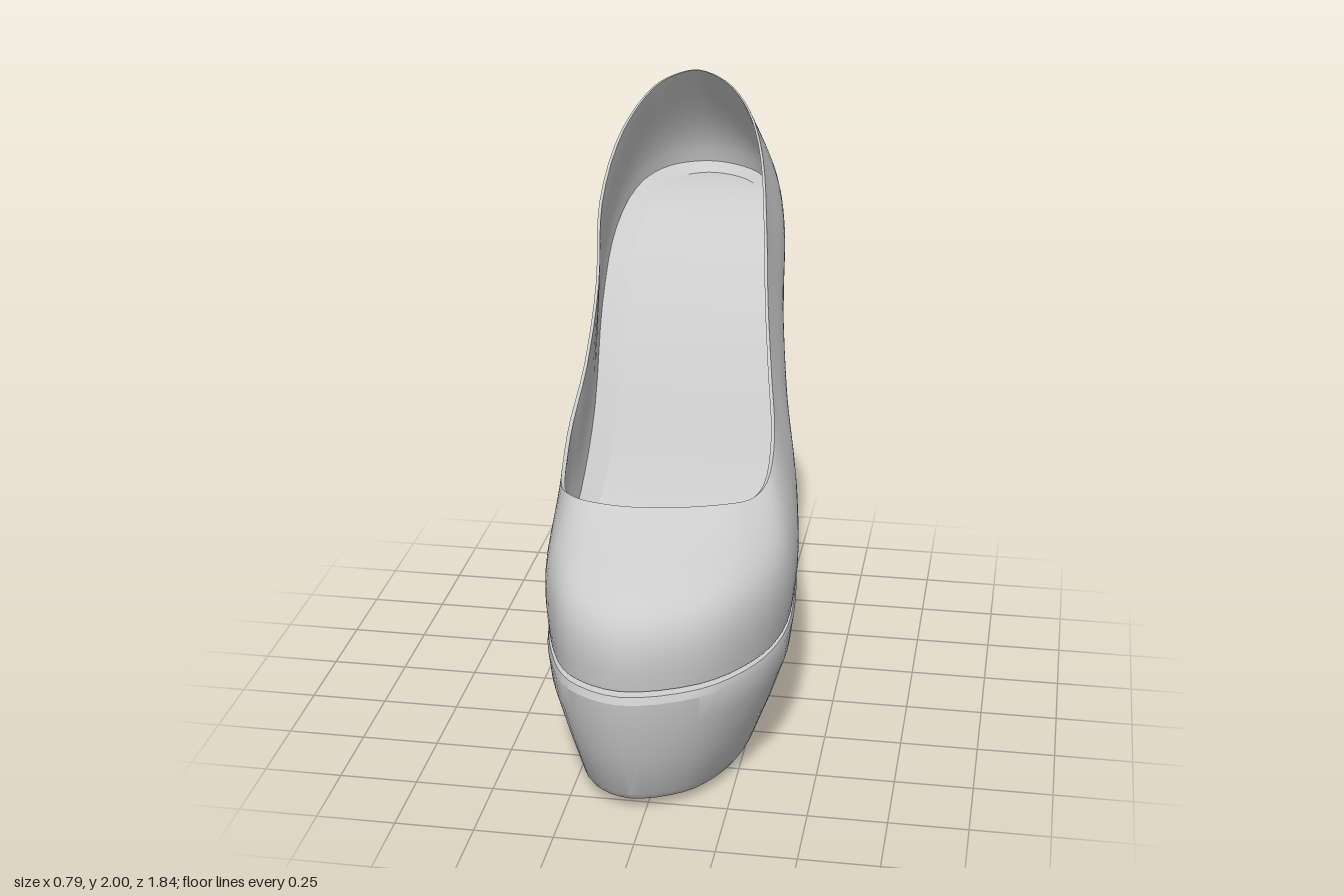
import * as THREE from 'three';
import { toCreasedNormals } from 'three/addons/utils/BufferGeometryUtils.js';

const { lerp, smoothstep } = THREE.MathUtils;
const N = 88; // columns around the shoe: 0 = back, N/2 = toe
const CX = -0.03; // lengthwise axis of the foot

// Smooth curve through [z, value] keys, ascending in z
function curve(keys) {
  const slope = (i) => {
    const a = keys[Math.max(i - 1, 0)], b = keys[Math.min(i + 1, keys.length - 1)];
    return (b[1] - a[1]) / (b[0] - a[0]);
  };
  return (z) => {
    z = Math.min(Math.max(z, keys[0][0]), keys[keys.length - 1][0]);
    let i = 0;
    while (i < keys.length - 2 && z > keys[i + 1][0]) i++;
    const [z0, v0] = keys[i], [z1, v1] = keys[i + 1];
    const h = z1 - z0, t = (z - z0) / h, t2 = t * t, t3 = t2 * t;
    return v0 * (2 * t3 - 3 * t2 + 1) + v1 * (3 * t2 - 2 * t3)
      + h * (slope(i) * (t3 - 2 * t2 + t) + slope(i + 1) * (t3 - t2));
  };
}

// Heights along the foot: seam above the sole, top rim, underside; then z shift and width of the underside
const seamY = curve([[-0.91, 1.53], [-0.8, 1.525], [-0.7, 1.505], [-0.6, 1.465], [-0.5, 1.4], [-0.4, 1.31],
  [-0.3, 1.19], [-0.2, 1.05], [-0.1, 0.88], [0, 0.71], [0.1, 0.58], [0.2, 0.515], [0.3, 0.48], [0.5, 0.46], [0.92, 0.46]]);
const rimY = curve([[-0.67, 2], [-0.6, 1.95], [-0.4, 1.78], [-0.2, 1.55], [0, 1.27], [0.19, 1.01], [0.28, 0.91],
  [0.34, 0.88], [0.4, 0.88], [0.47, 0.88]]);
const underY = curve([[-0.9, 1.48], [-0.6, 1.35], [-0.45, 1.21], [-0.36, 1.13], [-0.28, 1.04], [-0.13, 0.75],
  [0, 0.4], [0.1, 0.13], [0.16, 0.03], [0.2, 0.01], [0.5, 0.015], [0.82, 0.04]]);
const underZ = curve([[-0.92, -0.82], [-0.7, -0.65], [-0.52, -0.5], [-0.3, -0.32], [-0.12, -0.14], [0.04, 0.02],
  [0.22, 0.17], [0.42, 0.38], [0.62, 0.56], [0.8, 0.72], [0.92, 0.82]]);
const underWidth = curve([[-0.9, 0.6], [-0.5, 0.7], [-0.2, 0.8], [0.05, 0.76], [0.2, 0.7], [0.9, 0.7]]);

// Plan outline: seam x, z and rim x, z
const PLAN = [
  [-0.05, -0.9, -0.07, -0.67], [0.09, -0.84, 0.03, -0.63], [0.19, -0.7, 0.12, -0.54], [0.24, -0.52, 0.185, -0.4],
  [0.265, -0.3, 0.225, -0.22], [0.305, -0.12, 0.25, -0.08], [0.36, 0.04, 0.28, 0.05], [0.385, 0.22, 0.31, 0.18],
  [0.375, 0.42, 0.3, 0.28], [0.31, 0.62, 0.23, 0.37], [0.17, 0.8, 0.1, 0.43], [-0.06, 0.89, -0.07, 0.465],
  [-0.23, 0.81, -0.2, 0.455], [-0.325, 0.63, -0.29, 0.42], [-0.375, 0.42, -0.35, 0.34], [-0.38, 0.23, -0.36, 0.2],
  [-0.35, 0.06, -0.33, 0.06], [-0.33, -0.1, -0.32, -0.1], [-0.34, -0.3, -0.34, -0.27], [-0.33, -0.5, -0.3, -0.46],
  [-0.27, -0.72, -0.22, -0.6], [-0.17, -0.86, -0.14, -0.655],
];
const V = (x, y, z) => new THREE.Vector3(x, y, z);
const ringOf = (fn) => Array.from({ length: N }, (_, i) => fn(i));
const sample = (k) => {
  const c = new THREE.CatmullRomCurve3(PLAN.map((p) => V(p[k], 0, p[k + 1])), true);
  return ringOf((i) => c.getPoint(i / N));
};
const seam = sample(0).map((p) => p.setY(seamY(p.z)));
const rim = sample(2).map((p) => p.setY(rimY(p.z)));
const scaled = (p, sx, sz, dy = 0) => V(CX + (p.x - CX) * sx, p.y + dy, p.z * sz);

// Surface through rows of points
function skin(rows, closed, crease = 0.6) {
  const n = rows[0].length, index = [];
  for (let j = 0; j < rows.length - 1; j++) {
    for (let i = 0; i < (closed ? n : n - 1); i++) {
      const a = j * n + i, b = j * n + ((i + 1) % n);
      index.push(a, a + n, b, b, a + n, b + n);
    }
  }
  const g = new THREE.BufferGeometry().setFromPoints(rows.flat());
  g.setIndex(index);
  return toCreasedNormals(g, crease);
}

// Fill of a ring, spanned from one side of the foot to the other
function fill(ring, up) {
  const n = ring.length, rows = [];
  for (let k = 0; k <= n / 2; k++) {
    const a = ring[(n - k) % n], b = ring[k], row = [];
    for (let i = 0; i <= 8; i++) row.push(a.clone().lerp(b, (up ? i : 8 - i) / 8));
    rows.push(row);
  }
  return skin(rows, false);
}

// Point on the upper: column i, t from seam (0) to rim (1)
function upperPoint(i, t) {
  const p = seam[i], r = rim[i], h = r.y - p.y, w = smoothstep(p.z, 0, 0.75);
  const c1 = scaled(p, 1.09, 1.055).setY(p.y + h * lerp(0.33, 0.76, w));
  const c2 = p.clone().lerp(r, lerp(0.4, 0.35, w)).setY(p.y + h * lerp(0.64, 0.62, w));
  return new THREE.CubicBezierCurve3(p, c1, c2, r).getPoint(t);
}

export function createModel() {
  const shoe = new THREE.Group();
  const mat = new THREE.MeshStandardMaterial({ color: 0xcccccc, side: THREE.DoubleSide });
  const add = (name, geometry) => {
    const m = new THREE.Mesh(geometry, mat);
    m.name = name;
    shoe.add(m);
  };

  // Upper: outer wall up to the rim, then the lining down to the insole, which is narrower at the arch
  const insole = seam.map((p) => {
    const q = scaled(p, p.x < CX ? lerp(0.76, 0.87, smoothstep(p.z, -0.1, 0.2)) : 0.87, 0.96);
    return q.setY(seamY(q.z) + 0.06);
  });
  const rows = [];
  for (let j = 0; j <= 14; j++) rows.push(ringOf((i) => upperPoint(i, j / 14)));
  for (let j = 10; j >= 2; j--) {
    rows.push(ringOf((i) => scaled(upperPoint(i, j / 10), 0.965, 0.985, -0.012 * smoothstep(seam[i].z, 0, 0.6))));
  }
  rows.push(insole);
  add('upper', skin(rows, true));
  add('insole', fill(insole, true));

  // Platform and shank: underside, bevel, swelling side, welt edge, groove under the upper
  const welt = seam.map((p) => scaled(p, 1.015, 1.026, -0.035));
  const under = welt.map((p) => {
    const z = underZ(p.z);
    return V(CX + (p.x - CX) * underWidth(p.z), underY(z), z);
  });
  const bevel = under.map((p, i) => p.clone().lerp(welt[i], 0.06));
  const side = (ty, tp) => under.map((p, i) => {
    const q = welt[i].clone().lerp(p, tp);
    return q.setY(lerp(welt[i].y, p.y, ty));
  });
  const tread = under.map((p) => scaled(p, 0.97, 0.985));
  add('platform', skin([
    tread, bevel, side(0.55, 0.46), side(0.22, 0.1), welt,
    seam.map((p) => scaled(p, 1.005, 1.015, -0.012)), seam.map((p) => scaled(p, 0.95, 0.96, -0.004)),
  ], true, 0.45));
  add('outsole', fill(tread, false));

  // Heel: ovals given by front z, front y, back z, back y, half width
  const SIDES = 24;
  const heel = [
    [-0.56, 0, -0.622, 0, 0.035], [-0.548, 0.5, -0.665, 0.5, 0.047], [-0.535, 0.85, -0.71, 0.85, 0.067],
    [-0.525, 1, -0.74, 1, 0.085], [-0.512, 1.09, -0.765, 1.12, 0.105], [-0.475, 1.15, -0.795, 1.22, 0.14],
    [-0.42, 1.165, -0.845, 1.34, 0.19],
  ].map(([zf, yf, zb, yb, hw]) => Array.from({ length: SIDES }, (_, i) => {
    const a = (i / SIDES) * Math.PI * 2, f = (1 - Math.cos(a)) / 2;
    return V(-0.045 + hw * Math.sin(a), lerp(yb, yf, f), lerp(zb, zf, f));
  }));
  // Heel seat: follows the welt round the back and closes straight across under the arch
  const seat = heel[0].map((_, i) => {
    const c = i <= SIDES / 2 ? i : i - SIDES;
    if (Math.abs(c) <= 8) return scaled(welt[(c * 2 + N) % N], 1.006, 1.002);
    return welt[N - 16].clone().lerp(welt[16], ((12 - i) / 4 + 1) / 2);
  });
  const flare = seat.map((p, i) => {
    const o = heel[heel.length - 1][i];
    return V(lerp(o.x, p.x, 0.7), lerp(o.y, p.y, 0.5), lerp(o.z, p.z, 0.7));
  });
  add('heel', skin([...heel, flare, seat], true, 0.5));
  add('heelTip', fill(heel[0], false));

  return shoe;
}
